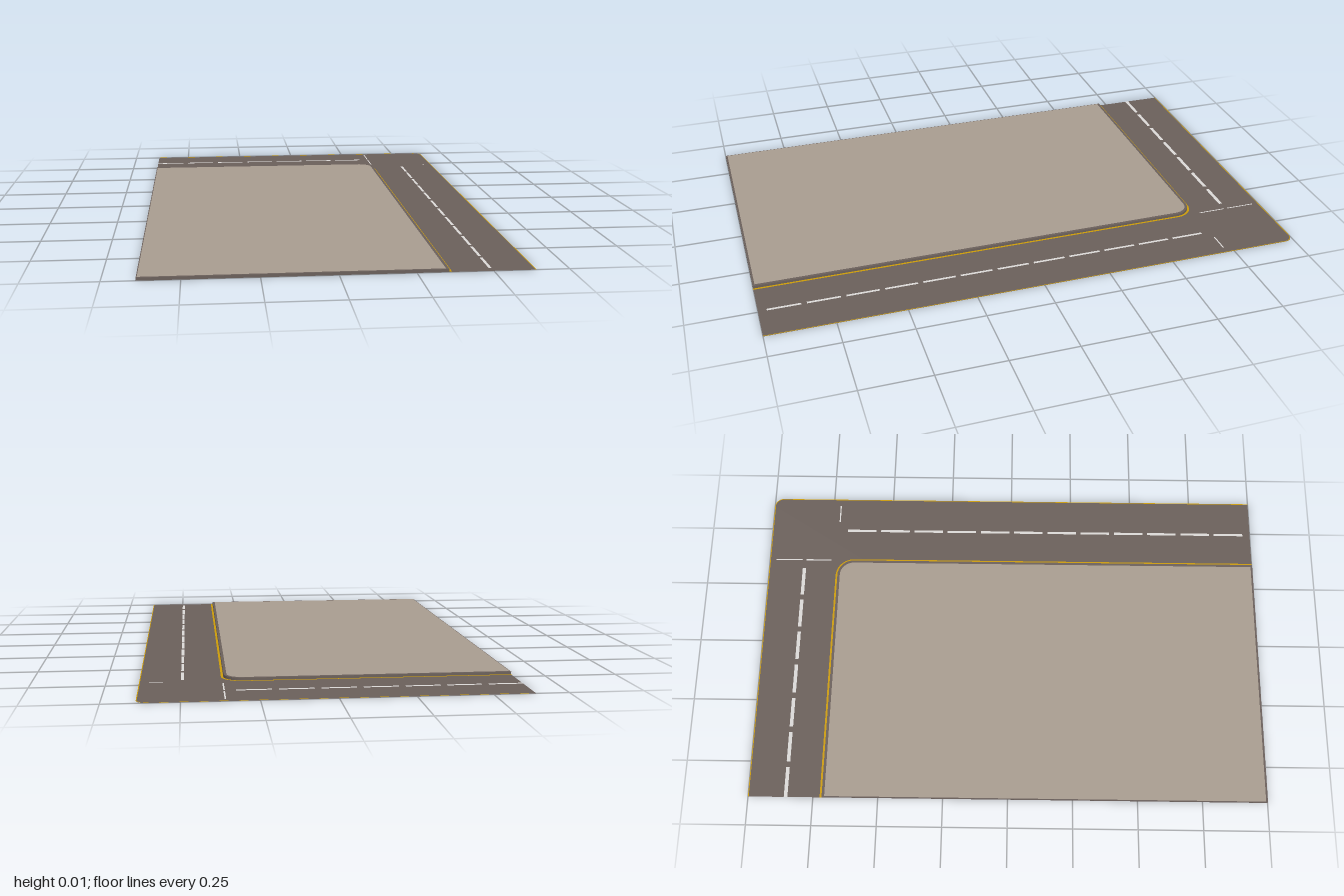
import * as THREE from 'three';

const LEFT = -0.64, FRONT = 1;

const mat = (name, color, side = THREE.FrontSide) => {
  const m = new THREE.MeshStandardMaterial({ color, side });
  m.name = name;
  return m;
};

// L-shaped edge running along the back, round one corner, then to the front.
// Shape y is -z, so everything is laid flat afterwards.
function edge(x, z, r, left = LEFT, front = FRONT) {
  const pts = [new THREE.Vector2(left, -z)];
  for (let i = 0; i <= 10; i++) {
    const a = Math.PI / 2 * (1 - i / 10);
    pts.push(new THREE.Vector2(x - r + r * Math.cos(a), -z - r + r * Math.sin(a)));
  }
  pts.push(new THREE.Vector2(x, -front));
  return pts;
}
const filled = (x, z, r, left = LEFT, front = FRONT) =>
  new THREE.Shape([...edge(x, z, r, left, front), new THREE.Vector2(left, -front)]);
const band = (x, z, r, w) =>
  new THREE.Shape([...edge(x, z, r), ...edge(x - w, z + w, r - w).reverse()]);

export function createModel() {
  const group = new THREE.Group();
  const asphalt = mat('asphalt', 0x6b605b, THREE.DoubleSide);
  const paving = mat('paving', 0xa99d90);
  const yellow = mat('yellowPaint', 0xcc9c08);
  const white = mat('whitePaint', 0xdcdad8);

  const lay = (name, geometry, material, y) => {
    geometry.rotateX(-Math.PI / 2);
    const mesh = new THREE.Mesh(geometry, material);
    mesh.name = name;
    mesh.position.y = y;
    group.add(mesh);
  };
  const flat = (name, shape, material, y) => lay(name, new THREE.ShapeGeometry(shape), material, y);
  const stripe = (name, x0, x1, z0, z1) => {
    const g = new THREE.PlaneGeometry(x1 - x0, z1 - z0);
    g.translate((x0 + x1) / 2, -(z0 + z1) / 2, 0);
    lay(name, g, white, 0.001);
  };

  // road surface
  flat('road', filled(0.64, -1, 0.035), asphalt, 0);

  // raised block with a dark kerb and a paved top
  lay('kerb', new THREE.ExtrudeGeometry(filled(0.355, -0.715, 0.065),
    { depth: 0.01, bevelEnabled: false }), asphalt, 0);
  flat('pavement', filled(0.345, -0.705, 0.055, -0.637, 0.993), paving, 0.0105);

  // yellow edge lines
  flat('innerEdgeLine', band(0.364, -0.724, 0.074, 0.008), yellow, 0.001);
  flat('outerEdgeLine', band(0.64, -1, 0.035, 0.003), yellow, 0.001);

  // dashed centre lines
  for (let i = 0; i < 7; i++) {
    const x = -0.64 + i * 0.1405;
    stripe('backRoadDash', x, x + 0.118, -0.862, -0.848);
  }
  for (let i = 0; i < 12; i++) {
    const z = -0.685 + i * 0.1395;
    stripe('sideRoadDash', 0.49, 0.5, z, z + 0.12);
  }

  // stop lines at the junction
  stripe('backRoadStopLine', 0.357, 0.362, -0.975, -0.865);
  stripe('backRoadStopLine', 0.357, 0.362, -0.85, -0.745);
  stripe('sideRoadStopLine', 0.535, 0.61, -0.723, -0.718);

  return group;
}
